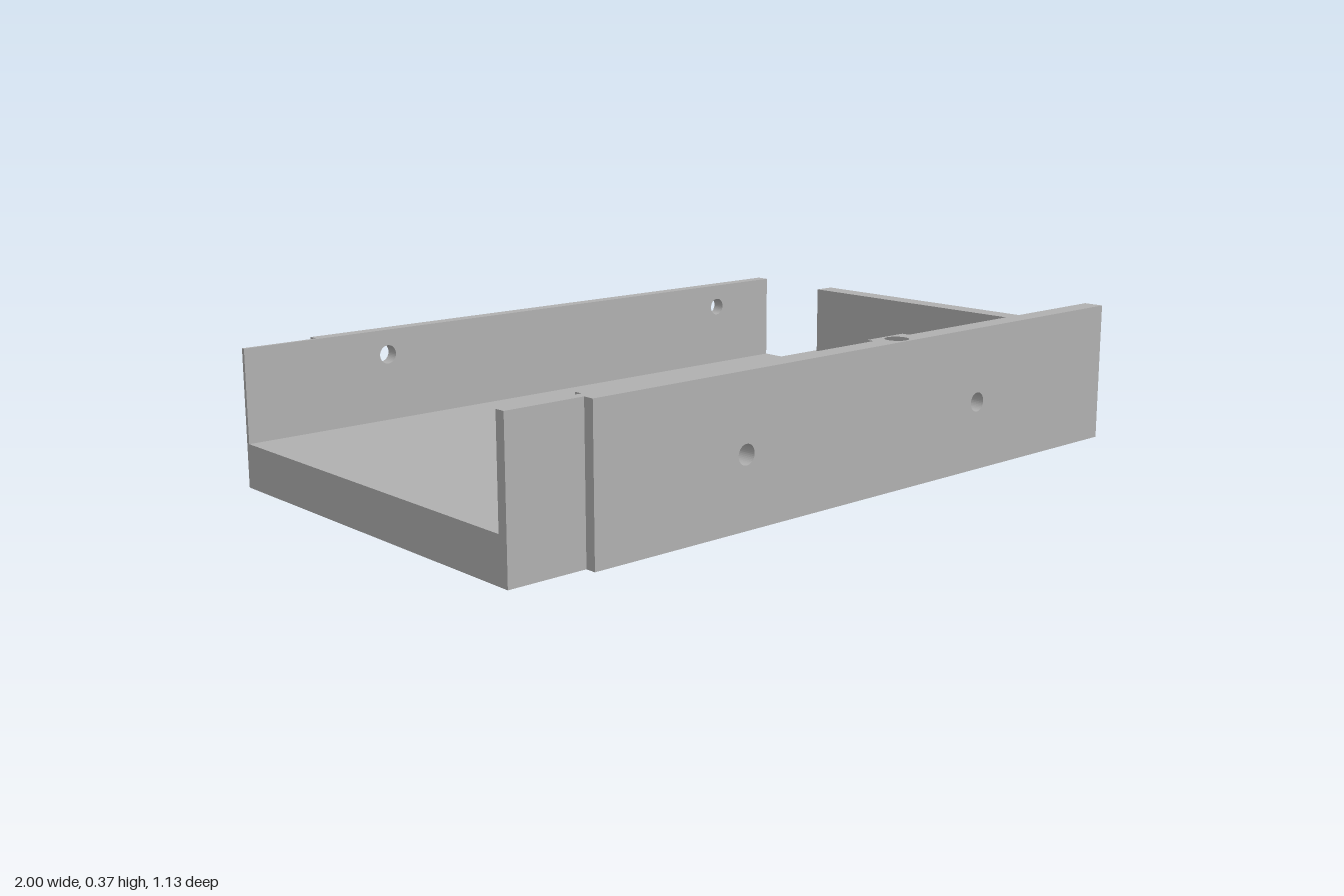
import * as THREE from 'three';

const metal = new THREE.MeshStandardMaterial({ color: 0xb0b0b0 });
metal.name = 'greyMetal';

// Shape from outline points, with round holes given as [u, v, radius]
function plate(points, holes = []) {
  const shape = new THREE.Shape(points.map(([u, v]) => new THREE.Vector2(u, v)));
  for (const [u, v, r] of holes) {
    const path = new THREE.Path();
    path.absarc(u, v, r, 0, Math.PI * 2, true);
    shape.holes.push(path);
  }
  return shape;
}
const rect = (u0, u1, v0, v1) => [[u0, v0], [u1, v0], [u1, v1], [u0, v1]];
const extrude = (shape, depth) =>
  new THREE.ExtrudeGeometry(shape, { depth, bevelEnabled: false, curveSegments: 20 });

// Extrusions along each axis; outlines are (x, z), (z, y) and (x, y)
const flip = (list, i) => list.map((p) => p.map((n, k) => (k === i ? -n : n)));
const alongY = (pts, holes, y0, y1) =>
  extrude(plate(flip(pts, 1), flip(holes, 1)), y1 - y0).rotateX(-Math.PI / 2).translate(0, y0, 0);
const alongX = (pts, holes, x0, x1) =>
  extrude(plate(flip(pts, 0), flip(holes, 0)), x1 - x0).rotateY(Math.PI / 2).translate(x0, 0, 0);
const alongZ = (pts, holes, z0, z1) => extrude(plate(pts, holes), z1 - z0).translate(0, 0, z0);

export function createModel() {
  const model = new THREE.Group();
  model.name = 'tray';
  const add = (name, geometry) => {
    const mesh = new THREE.Mesh(geometry, metal);
    mesh.name = name;
    model.add(mesh);
  };

  const floorY = 0.112, pocketY = 0.05;
  const back = -0.563, backIn = -0.527, front = 0.563, frontIn = 0.508, bossIn = 0.487;
  const wallIn = 0.94, step = -0.797, backEnd = 0.79, cornerZ = -0.46;
  const boreZ = [-0.152, 0.259], boreY = 0.13, boreR = 0.07, throughR = 0.036;

  // Floor: solid base, then a layer with blind holes and notches for the troughs
  const half = Math.sqrt(boreR ** 2 - (boreY - floorY) ** 2);
  const outline = [[-1, frontIn], [-1, backIn], [backEnd, backIn], [backEnd, cornerZ], [wallIn, cornerZ]];
  const notched = [...outline];
  for (const z of boreZ) {
    notched.push([wallIn, z - half], [0.78, z - half], [0.78, z + half], [wallIn, z + half]);
  }
  const end = [wallIn, frontIn];
  add('floorBase', alongY([...outline, end], [], 0, pocketY));
  add('floorTop', alongY([...notched, end], [[-0.737, 0.308, 0.043], [0.638, 0.308, 0.043]], pocketY, floorY));

  // Rounded troughs leading to the end wall holes
  for (const z of boreZ) {
    const a = Math.asin((boreY - floorY) / boreR);
    const pts = [[z - half, pocketY], [z + half, pocketY]];
    for (let i = 0; i <= 20; i++) {
      const t = -a - (i / 20) * (Math.PI - 2 * a);
      pts.push([z + boreR * Math.cos(t), boreY + boreR * Math.sin(t)]);
    }
    add('trough', alongX(pts, [], 0.78, wallIn));
  }

  // End wall with stepped bores, and the low corner ledge beside it
  const wall = rect(-0.45, frontIn, 0, 0.31);
  add('endWallInner', alongX(wall, boreZ.map((z) => [z, boreY, boreR]), wallIn, 0.97));
  add('endWallOuter', alongX(wall, boreZ.map((z) => [z, boreY, throughR]), 0.97, 1));
  add('cornerLedge', alongX(rect(cornerZ, -0.45, 0, floorY), [], wallIn, 1));

  // Back wall with its thinner end
  add('backWall', alongZ(rect(step, backEnd, 0, 0.35),
    [[-0.595, 0.285, 0.024], [0.575, 0.285, 0.024]], back, backIn));
  add('backWallThinEnd', alongZ(rect(-1, step, 0, 0.35), [], -0.537, backIn));

  // Front wall: lower part with cross holes, thin end and bosses
  const topY = 0.37, capY = 0.3;
  const bosses = [[-0.782, -0.652], [0.123, 0.253]];
  add('frontWall', alongZ(rect(step, 1, 0, capY),
    [[-0.358, 0.178, 0.025], [0.463, 0.178, 0.025]], frontIn, front));
  add('frontWallThinEnd', alongZ(rect(-1, step, 0, capY), [], frontIn, 0.535));
  for (const [x0, x1] of bosses) {
    add('boss', alongZ(rect(x0, x1, floorY, capY), [], bossIn, frontIn));
  }

  // Front wall upper part with vertical blind holes above the bosses
  const cap = [[-1, frontIn]];
  for (const [x0, x1] of bosses) cap.push([x0, frontIn], [x0, bossIn], [x1, bossIn], [x1, frontIn]);
  cap.push([1, frontIn], [1, front], [step, front], [step, 0.535], [-1, 0.535]);
  add('frontWallTop', alongY(cap, bosses.map(([x0, x1]) => [(x0 + x1) / 2, 0.525, 0.03]), capY, topY));

  return model;
}
